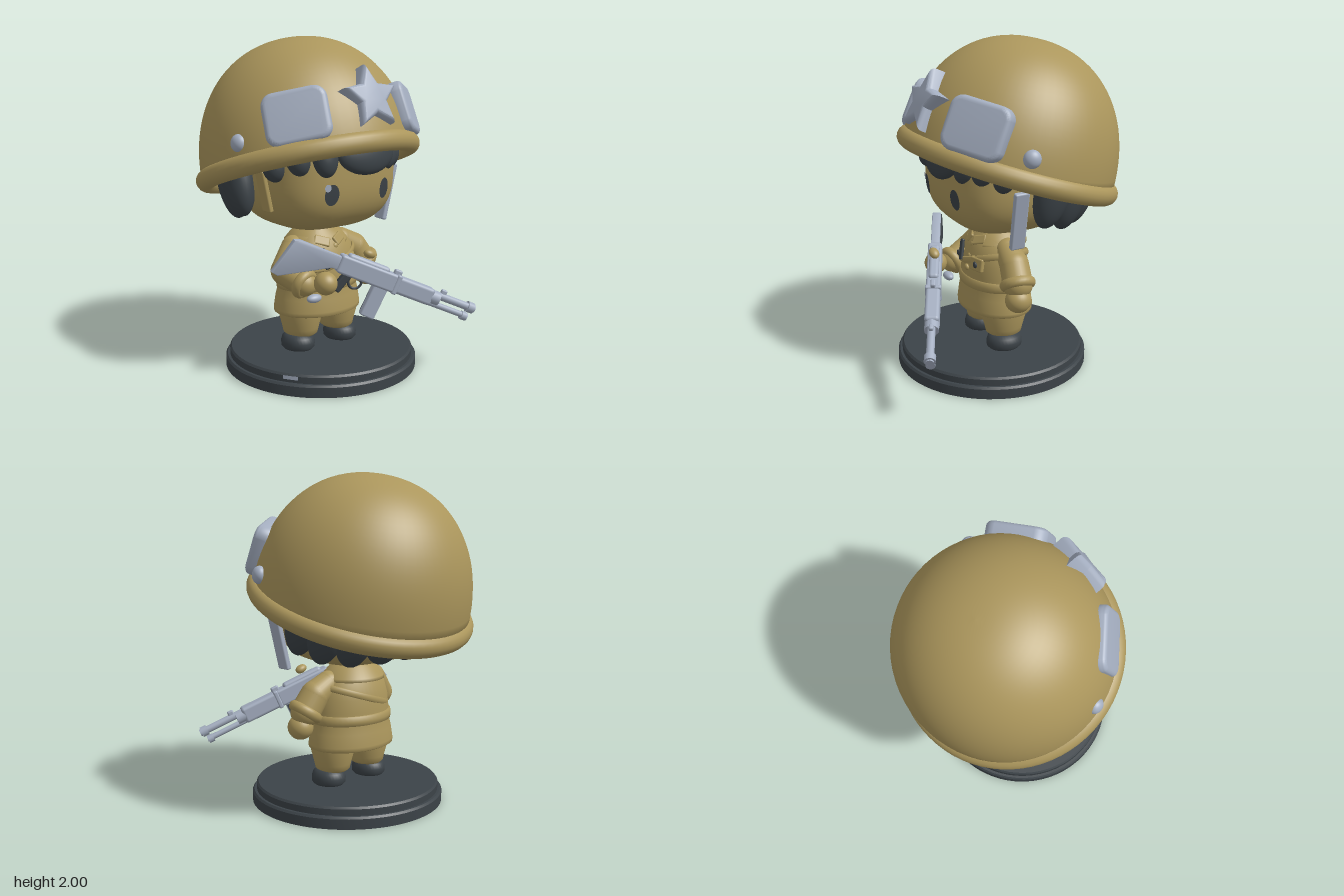
import * as THREE from 'three';
import { toCreasedNormals } from 'three/addons/utils/BufferGeometryUtils.js';
import { RoundedBoxGeometry } from 'three/addons/geometries/RoundedBoxGeometry.js';

const V = (x, y, z) => new THREE.Vector3(x, y, z);

export function createModel() {
  const material = (name, color, side) => Object.assign(new THREE.MeshStandardMaterial({ color, side }), { name });
  const tan = material('khaki', 0xab965c, THREE.DoubleSide);
  const silver = material('silver', 0xa4aec0);
  const dark = material('charcoal', 0x3c4348);

  const model = new THREE.Group();
  model.name = 'soldierFigurine';
  const part = (name, geo, mat, pos = [0, 0, 0], rot = [0, 0, 0], scale = [1, 1, 1], parent = model) => {
    const m = new THREE.Mesh(geo, mat);
    m.name = name;
    m.position.set(...pos);
    m.rotation.set(...rot);
    m.scale.set(...scale);
    parent.add(m);
    return m;
  };
  const group = (name, parent = model) => {
    const g = new THREE.Group();
    g.name = name;
    parent.add(g);
    return g;
  };
  const lathe = (pts, seg = 48, ...arc) =>
    new THREE.LatheGeometry(pts.map(p => new THREE.Vector2(...p)), seg, ...arc);
  const sphere = new THREE.SphereGeometry(1, 32, 20);
  const ball = (name, mat, pos, scale, parent = model, rot) => part(name, sphere, mat, pos, rot, scale, parent);
  const box = (w, h, d, r = 0.01) => new RoundedBoxGeometry(w, h, d, 3, r);

  // Round stepped base with a small edge mark
  part('base', toCreasedNormals(lathe([[0, 0], [0.59, 0], [0.59, 0.06], [0.58, 0.072], [0.565, 0.072],
    [0.565, 0.11], [0.555, 0.122], [0, 0.122]], 64), 0.6), dark, [0.01, 0, 0.04]);
  part('baseMark', new THREE.CylinderGeometry(0.568, 0.568, 0.022, 8, 1, true, -1.04, 0.16), silver, [0.01, 0.101, 0.04]);

  // Boots and trouser legs
  for (const s of [-1, 1]) {
    part('boot', lathe([[0, 0.12], [0.085, 0.12], [0.098, 0.135], [0.1, 0.165], [0.092, 0.195], [0.07, 0.216], [0, 0.225]], 32),
      dark, [0.005 + s * 0.163, 0, 0.03], [0, 0, 0], [1, 1, 1.12]);
    part('trouserLeg', lathe([[0, 0.205], [0.085, 0.205], [0.102, 0.22], [0.108, 0.25], [0.128, 0.33], [0.13, 0.42]], 32),
      tan, [0.005 + s * 0.138, 0, 0.022], [0, 0, 0], [1, 1, 1.1]);
  }

  // Coat with belt, cape collar and shoulder strap
  part('coat', lathe([[0, 0.365], [0.25, 0.365], [0.272, 0.345], [0.287, 0.352], [0.288, 0.375], [0.276, 0.45], [0.262, 0.5],
    [0.258, 0.58], [0.25, 0.66], [0.225, 0.75], [0.17, 0.82], [0.1, 0.86], [0.09, 0.92]]), tan, [0, 0, 0.015], [0, 0, 0], [1, 1, 0.76]);
  part('belt', lathe([[0.25, 0.5], [0.27, 0.505], [0.273, 0.53], [0.27, 0.56], [0.25, 0.565]]), tan,
    [0, 0, 0.015], [0, 0, 0], [1, 1, 0.77]);
  part('collar', lathe([[0.21, 0.765], [0.226, 0.765], [0.223, 0.785], [0.16, 0.85], [0.1, 0.88]], 40, 0.6, Math.PI * 2 - 1.2),
    tan, [0, 0, 0], [0, 0, 0], [0.9, 1, 0.8]);
  part('shoulderStrap', new THREE.TorusGeometry(0.246, 0.01, 8, 48), tan, [0, 0.66, 0.015],
    [Math.PI / 2, 0.32, 0], [1.02, 0.78, 2]);
  for (const s of [-1, 1]) {
    part('collarFlap', box(0.1, 0.06, 0.03), tan, [s * 0.06, 0.795, 0.14], [-0.6, s * 0.3, s * 0.5]);
    part('pocket', box(0.1, 0.085, 0.03), tan, [s * 0.115, 0.665, 0.185], [-0.12, s * 0.35, 0]);
    ball('pocketButton', dark, [s * 0.12, 0.665, 0.203], [0.02, 0.02, 0.01]);
  }
  for (const y of [0.62, 0.69, 0.76]) ball('coatButton', tan, [0.02, y, 0.212 - (y - 0.62) * 0.3], [0.02, 0.02, 0.014]);
  part('chestStrap', box(0.035, 0.13, 0.02, 0.008), dark, [-0.08, 0.7, 0.2], [-0.2, 0, 0.2]);

  // Arms: tapered sleeves between joints, rolled cuffs and round hands
  const sleeve = (name, points, radii) => {
    const g = group(name);
    points.forEach((p, i) => {
      const r = radii[i];
      ball('sleeveJoint', tan, p.toArray(), [r, r, r], g);
      if (!i) return;
      const d = p.clone().sub(points[i - 1]);
      const m = part('sleeve', new THREE.CylinderGeometry(r, radii[i - 1], d.length(), 28, 1, true), tan,
        p.clone().add(points[i - 1]).multiplyScalar(0.5).toArray(), [0, 0, 0], [1, 1, 1], g);
      m.quaternion.setFromUnitVectors(V(0, 1, 0), d.normalize());
    });
    const n = points.length - 1;
    const cuff = part('cuff', new THREE.TorusGeometry(radii[n] - 0.008, 0.026, 12, 32), tan, points[n].toArray(),
      [0, 0, 0], [1, 1, 1.2], g);
    cuff.quaternion.setFromUnitVectors(V(0, 0, 1), points[n].clone().sub(points[n - 1]).normalize());
  };
  sleeve('leftArm', [V(0.18, 0.75, 0.015), V(0.28, 0.69, 0.02), V(0.345, 0.595, 0.03)], [0.075, 0.088, 0.09]);
  ball('leftHand', tan, [0.375, 0.505, 0.04], [0.075, 0.075, 0.08]);
  sleeve('rightArm', [V(-0.18, 0.75, 0.015), V(-0.27, 0.63, 0.06), V(-0.235, 0.575, 0.2)], [0.075, 0.088, 0.075]);
  ball('rightHand', tan, [-0.18, 0.6, 0.335], [0.068, 0.068, 0.07]);
  ball('wristClasp', silver, [-0.195, 0.49, 0.245], [0.05, 0.026, 0.03]);
  ball('finger', tan, [0.06, 0.76, 0.44], [0.04, 0.026, 0.03], model, [0, 0, -0.4]);

  // Head: a boxy rounded solid
  const N = 3, H = [0.44, 0.375, 0.4], C = [0.005, 1.24, -0.01];
  const headGeo = new THREE.SphereGeometry(1, 56, 40);
  const hp = headGeo.attributes.position;
  for (let i = 0; i < hp.count; i++) {
    const p = V().fromBufferAttribute(hp, i);
    const k = Math.pow(Math.abs(p.x) ** N + Math.abs(p.y) ** N + Math.abs(p.z) ** N, -1 / N);
    hp.setXYZ(i, p.x * k * H[0], p.y * k * H[1], p.z * k * H[2]);
  }
  headGeo.computeVertexNormals();
  part('head', headGeo, tan, C);

  // Eyes: thin faces laid on the head's surface
  const facePatch = (name, mat, x, y, rx, ry, lift) => {
    const g = new THREE.CircleGeometry(1, 28), p = g.attributes.position;
    for (let i = 0; i < p.count; i++) {
      const px = x + p.getX(i) * rx, py = y + p.getY(i) * ry;
      const inside = 1 - Math.abs((px - C[0]) / H[0]) ** N - Math.abs((py - C[1]) / H[1]) ** N;
      p.setXYZ(i, px, py, C[2] + H[2] * Math.pow(inside, 1 / N) + lift);
    }
    g.computeVertexNormals();
    part(name, g, mat);
  };
  facePatch('rightEye', dark, -0.17, 1.122, 0.046, 0.062, 0.005);
  facePatch('leftEye', dark, 0.222, 1.122, 0.04, 0.062, 0.005);
  facePatch('eyeGlint', silver, -0.2, 1.165, 0.02, 0.022, 0.009);

  // Helmet, tilted back; everything fixed to it shares its frame
  const helmet = group('helmet');
  helmet.position.set(0, 1.235, -0.075);
  helmet.rotation.x = -0.315;
  const arc = (a, h) => Array.from({ length: 25 }, (_, i) => {
    const t = i / 24 * Math.PI / 2;
    return [a * Math.pow(Math.max(Math.cos(t), 0), 0.92), h * Math.pow(Math.sin(t), 0.92)];
  });
  part('helmetShell', lathe([...arc(0.6, 0.72).reverse(), ...arc(0.655, 0.765)], 64), tan,
    [0, 0, 0], [0.06, 0, 0], [1, 1, 1], helmet);
  part('helmetRim', new THREE.TorusGeometry(0.633, 0.057, 16, 72), tan, [0, 0, 0], [Math.PI / 2, 0, 0], [1, 1, 1.08], helmet);

  // Star badge
  const star = new THREE.Shape();
  for (let i = 0; i < 10; i++) {
    const a = Math.PI / 2 + i * Math.PI / 5, r = i % 2 ? 0.068 : 0.155;
    star[i ? 'lineTo' : 'moveTo'](r * Math.cos(a), r * Math.sin(a));
  }
  star.closePath();
  const starGeo = new THREE.ExtrudeGeometry(star, { depth: 0.05, bevelSize: 0.028, bevelThickness: 0.035, bevelSegments: 5 });
  part('starBadge', toCreasedNormals(starGeo, 0.6), silver, [0.03, 0.235, 0.6], [-0.1, 0, 0], [1, 1, 1], helmet);

  // Goggle pads with round corners, and rivets
  const w = 0.155, h = 0.125, c = 0.045;
  const padShape = new THREE.Shape();
  [[w - c, h - c, 0], [c - w, h - c, 1], [c - w, c - h, 2], [w - c, c - h, 3]].forEach(([x, y, q]) =>
    padShape.absarc(x, y, c, q * Math.PI / 2, (q + 1) * Math.PI / 2));
  const padGeo = toCreasedNormals(new THREE.ExtrudeGeometry(padShape,
    { depth: 0.05, bevelSize: 0.03, bevelThickness: 0.03, bevelSegments: 5, curveSegments: 8 }), 0.6);
  for (const s of [-1, 1]) {
    const pad = group('gogglePad', helmet);
    pad.position.set(0.025 + s * 0.392, 0.195, 0.475);
    pad.rotation.set(-0.1, s * 0.7, 0, 'YXZ');
    part('pad', padGeo, silver, [0, 0, -0.03], [0, 0, 0], [1, 1, 1], pad);
    ball('rivet', silver, [0.01 + s * 0.61, 0.125, 0.215], [0.04, 0.052, 0.05], helmet, [0, -s * 0.3, 0]);
  }

  // Hair: an inner cap, long locks round the sides and back, short fringe in front
  const hair = group('hair', helmet);
  part('hairCap', new THREE.SphereGeometry(1, 40, 16, 0, Math.PI * 2, 0, Math.PI / 2 + 0.08), dark,
    [0, 0, 0], [0, 0, 0], [0.55, 0.6, 0.52], hair);
  for (let i = 0; i < 9; i++) {
    const a = Math.PI / 2 + 0.15 + i * (Math.PI - 0.3) / 8;
    const length = 0.25 - 0.09 * Math.max(0, -Math.cos(a)) ** 4;
    ball('lock', dark, [0.48 * Math.sin(a), -0.01, 0.44 * Math.cos(a)], [0.115, length, 0.095], hair, [0, a, 0]);
  }
  for (const [x, r, low] of [[-0.42, 0.075, 0.1], [-0.32, 0.08, 0.1], [-0.2, 0.085, 0.13], [0.07, 0.21, 0.145],
    [0.26, 0.09, 0.12], [0.35, 0.08, 0.1], [0.43, 0.07, 0.1]])
    ball('fringe', dark, [x, -0.02, Math.sqrt(0.47 * 0.47 - x * x * 0.9)], [r, low, 0.07], hair);

  // Chin straps hanging from the rim
  part('leftChinStrap', box(0.034, 0.36, 0.09), silver, [0.485, 1.035, 0.095], [0.03, 0, -0.22]);
  part('rightChinStrap', box(0.03, 0.25, 0.08), tan, [-0.455, 1.14, 0.12], [0, 0, 0.22]);

  // Rifle: built along its own x axis, then aimed down and forward
  const rifle = group('rifle');
  const ax = V(0.73, -0.348, 0.336).normalize();
  const az = ax.clone().cross(V(0, 1, 0)).normalize();
  rifle.quaternion.setFromRotationMatrix(new THREE.Matrix4().makeBasis(ax, az.clone().cross(ax), az));
  rifle.position.set(-0.105, 0.72, 0.365);
  const rp = (name, geo, mat, pos, rot) => part(name, geo, mat, pos, rot, [1, 1, 1], rifle);
  const stock = new THREE.Shape([[-0.345, -0.18], [-0.295, 0.025], [-0.265, 0.035], [0.03, 0.03], [0.03, -0.03], [-0.04, -0.035], [-0.315, -0.185]]
    .map(p => new THREE.Vector2(...p)));
  const slab = (d, b) => toCreasedNormals(new THREE.ExtrudeGeometry(stock,
    { depth: d, bevelEnabled: b > 0, bevelSize: b, bevelThickness: b, bevelSegments: 2 }), 0.6);
  rp('stock', slab(0.04, 0.008), silver, [0, 0, -0.02]);
  rp('stockBackFace', slab(0.005, 0), dark, [0, 0, -0.033]);
  rp('receiver', box(0.37, 0.11, 0.085, 0.015), silver, [0.18, 0, 0]);
  rp('receiverCover', box(0.27, 0.05, 0.06, 0.02), silver, [0.17, 0.05, 0]);
  rp('magazine', box(0.09, 0.22, 0.05, 0.01), silver, [0.288, -0.135, 0], [0, 0, -0.04]);
  rp('magazineBackFace', new THREE.BoxGeometry(0.085, 0.18, 0.005), dark, [0.288, -0.15, -0.027], [0, 0, -0.04]);
  rp('grip', box(0.05, 0.13, 0.045), dark, [0.06, -0.1, 0], [0, 0, -0.3]);
  rp('triggerGuard', new THREE.TorusGeometry(0.04, 0.008, 8, 24), dark, [0.135, -0.075, 0]);
  rp('handguard', box(0.27, 0.105, 0.085, 0.02), silver, [0.48, 0, 0]);
  rp('handguardRing', box(0.03, 0.12, 0.095), silver, [0.37, 0, 0]);
  rp('sightBlock', box(0.05, 0.035, 0.03), silver, [0.36, 0.065, 0]);
  rp('slingMount', box(0.04, 0.035, 0.025), silver, [0.68, 0.05, 0]);
  const along = [0, 0, -Math.PI / 2];
  const rod = (name, r, from, to, y) =>
    rp(name, new THREE.CylinderGeometry(r, r, to - from, 18), silver, [(from + to) / 2, y, 0], along);
  rod('barrel', 0.023, 0.58, 0.905, 0.022);
  rod('muzzle', 0.033, 0.855, 0.895, 0.022);
  rod('gasTube', 0.018, 0.58, 0.88, -0.036);
  rod('gasTubeCap', 0.026, 0.84, 0.875, -0.04);
  rod('barrelBand', 0.042, 0.6, 0.66, 0.002);

  return model;
}
